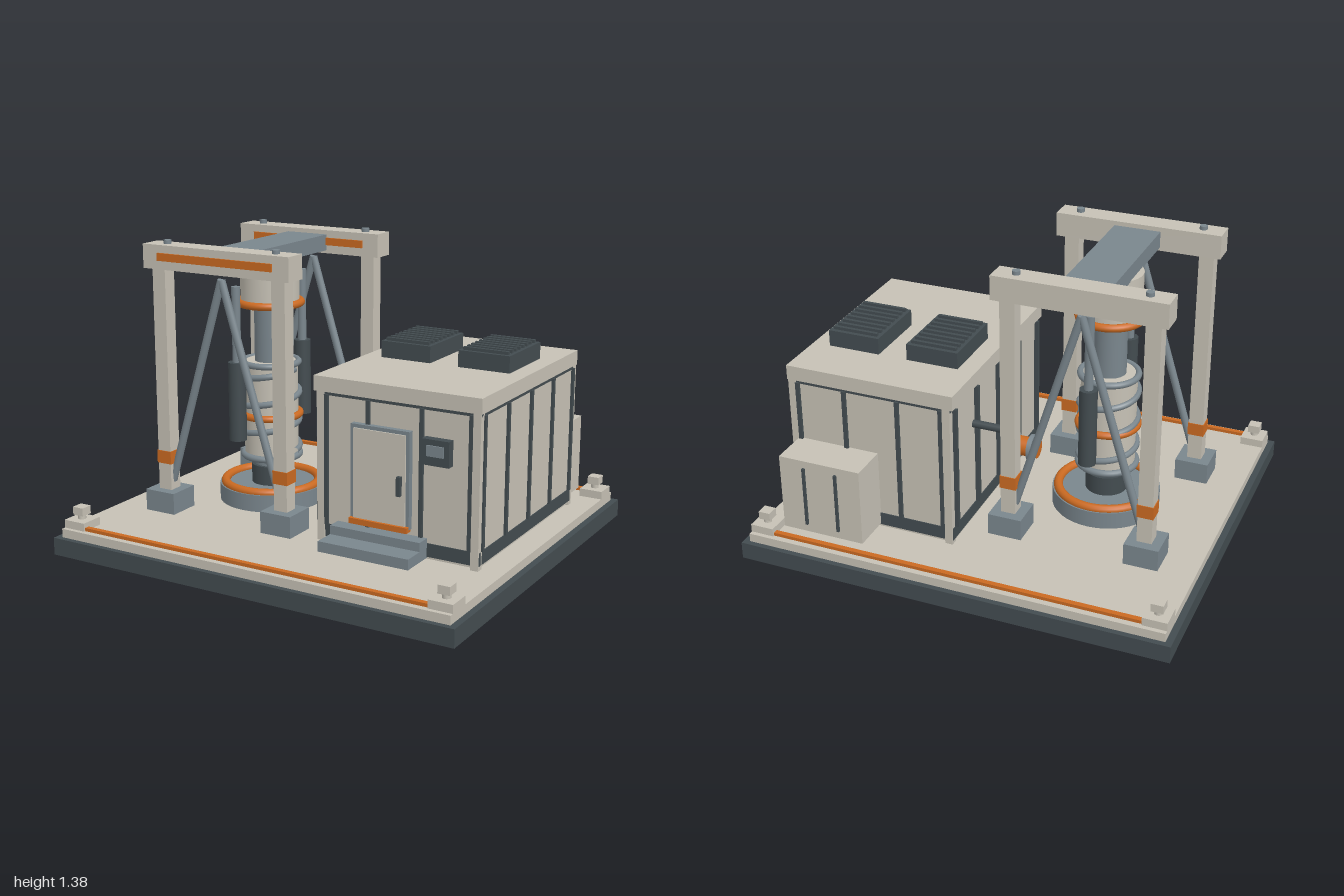
import * as THREE from 'three';

const mat = (name, color) => {
  const m = new THREE.MeshStandardMaterial({ color });
  m.name = name;
  return m;
};

export function createModel() {
  const root = new THREE.Group();
  root.name = 'drillingStation';
  const beige = mat('warm beige', 0xc6c1b5);
  const steel = mat('blue grey steel', 0x7a868d);
  const dark = mat('dark slate', 0x434c50);
  const orange = mat('safety orange', 0xca6a22);

  const add = (name, geo, m, x = 0, y = 0, z = 0) => {
    const mesh = new THREE.Mesh(geo, m);
    mesh.name = name;
    mesh.position.set(x, y, z);
    root.add(mesh);
    return mesh;
  };
  // Box from its extents along each axis
  const box = (name, m, [x0, x1], [y0, y1], [z0, z1]) =>
    add(name, new THREE.BoxGeometry(x1 - x0, y1 - y0, z1 - z0), m,
      (x0 + x1) / 2, (y0 + y1) / 2, (z0 + z1) / 2);
  const around = (c, w) => [c - w / 2, c + w / 2];
  // Cylinder between two points
  const rod = (name, m, a, b, r, seg = 32) => {
    const p = new THREE.Vector3(...a), q = new THREE.Vector3(...b);
    const d = q.clone().sub(p);
    const mesh = add(name, new THREE.CylinderGeometry(r, r, d.length(), seg), m);
    mesh.position.copy(p).add(q).multiplyScalar(0.5);
    mesh.quaternion.setFromUnitVectors(new THREE.Vector3(0, 1, 0), d.normalize());
    return mesh;
  };
  const ring = (name, m, x, y, R, r) =>
    add(name, new THREE.TorusGeometry(R, r, 12, 48).rotateX(Math.PI / 2), m, x, y, 0);

  // Platform
  box('platformBase', dark, [-1, 1], [0, 0.08], [-0.895, 0.895]);
  box('platformDeck', beige, [-0.97, 0.97], [0.08, 0.12], [-0.87, 0.87]);
  for (const s of [-1, 1]) {
    box('edgeStripe', orange, [-0.86, 0.86], [0.12, 0.135], around(s * 0.83, 0.024));
    for (const t of [-1, 1]) {
      const x = s * 0.915, z = t * 0.795;
      box('cornerFoot', beige, around(x, 0.11), [0.12, 0.157], around(z, 0.11));
      rod('cornerNeck', beige, [x, 0.157, z], [x, 0.185, z], 0.018, 16);
      box('cornerCap', beige, around(x, 0.055), [0.178, 0.215], around(z, 0.055));
    }
  }

  // Gantry frame
  const cx = -0.412;
  for (const s of [-1, 1]) {
    const z = s * 0.386;
    for (const t of [-1, 1]) {
      const x = cx + t * 0.317;
      box('pier', steel, around(x, 0.157), [0.12, 0.22], around(z, 0.157));
      box('post', beige, around(x, 0.068), [0.22, 1.26], around(z, 0.068));
      box('postBand', orange, around(x, 0.076), [0.345, 0.405], around(z, 0.076));
      rod('brace', steel, [cx, 1.225, z], [cx + t * 0.295, 0.26, z], 0.018, 12);
      rod('beamBolt', steel, [cx + t * 0.288, 1.36, z], [cx + t * 0.288, 1.382, z], 0.018, 16);
    }
    box('topBeam', beige, around(cx, 0.77), [1.255, 1.365], around(z, 0.11));
    box('beamPanel', orange, around(cx, 0.605), [1.295, 1.33], [z + 0.052, z + 0.064]);
    // Hydraulic ram
    rod('ramBarrel', dark, [cx, 0.47, s * 0.278], [cx, 0.835, s * 0.278], 0.04, 24);
    rod('ramRod', steel, [cx, 0.83, s * 0.278], [cx, 1.18, s * 0.278], 0.02, 16);
  }
  box('crossBeam', steel, around(cx, 0.215), [1.27, 1.345], [-0.335, 0.335]);

  // Drill column, stacked cylinders: name, material, bottom, top, radius
  [
    ['driveHousing', beige, 1.07, 1.275, 0.137],
    ['upperShaft', steel, 0.77, 1.08, 0.075],
    ['columnBody', beige, 0.325, 0.79, 0.127],
    ['columnNeck', steel, 0.28, 0.33, 0.08],
    ['columnCollar', dark, 0.19, 0.29, 0.096],
    ['turntable', steel, 0.12, 0.2, 0.248],
  ].forEach(([n, m, y0, y1, r]) => rod(n, m, [cx, y0, 0], [cx, y1, 0], r, 40));
  ring('driveRing', orange, cx, 1.067, 0.144, 0.018);
  ring('upperRing', steel, cx, 0.783, 0.13, 0.015);
  ring('middleRing', orange, cx, 0.535, 0.135, 0.017);
  ring('lowerRing', steel, cx, 0.338, 0.132, 0.016);
  ring('turntableRing', orange, cx, 0.205, 0.221, 0.021);

  // Coil wound around the column
  const turns = 3;
  const coil = Array.from({ length: turns * 16 + 1 }, (_, i) => {
    const a = -i * Math.PI / 8;
    return new THREE.Vector3(0.132 * Math.cos(a), 0.365 + 0.395 * i / (turns * 16), 0.132 * Math.sin(a));
  });
  add('columnCoil', new THREE.TubeGeometry(new THREE.CatmullRomCurve3(coil), 160, 0.015, 8), steel, cx);

  // Cabin shell
  const X = [0.092, 0.862], Z = [-0.602, 0.398];
  box('cabinBody', beige, X, [0.13, 0.8], Z);
  box('cabinRoof', beige, [0.075, 0.87], [0.795, 0.862], [-0.612, 0.41]);
  box('cabinSkirt', dark, [0.088, 0.866], [0.14, 0.2], [-0.606, 0.402]);
  box('roofTrim', dark, [0.088, 0.866], [0.78, 0.795], [-0.606, 0.402]);
  for (const x of [0.108, 0.848])
    for (const z of [-0.593, 0.391])
      box('cornerPost', beige, around(x, 0.036), [0.122, 0.795], around(z, 0.036));

  // Panel ribs on all walls
  for (const z of [0.372, 0.14, -0.1, -0.34, -0.572]) {
    box('sideRib', dark, [0.862, 0.874], [0.2, 0.785], around(z, 0.018));
    box('sideRib', dark, [0.072, 0.092], [0.2, 0.785], around(z, 0.018));
  }
  for (const x of [0.135, 0.34, 0.595, 0.822]) {
    box('frontRib', dark, around(x, 0.018), [0.2, 0.785], [0.398, 0.41]);
    box('backRib', dark, around(x, 0.018), [0.2, 0.785], [-0.615, -0.602]);
  }

  // Door, steps and control box
  box('doorFrame', steel, [0.268, 0.55], [0.25, 0.68], [0.398, 0.425]);
  box('doorPanel', beige, [0.284, 0.534], [0.265, 0.664], [0.42, 0.432]);
  box('doorSill', orange, [0.268, 0.55], [0.24, 0.265], [0.41, 0.445]);
  box('doorHandle', dark, around(0.51, 0.018), [0.4, 0.485], [0.43, 0.452]);
  box('lowerStep', steel, [0.19, 0.625], [0.135, 0.182], [0.4, 0.57]);
  box('upperStep', steel, [0.19, 0.625], [0.18, 0.222], [0.4, 0.468]);
  box('controlBox', dark, [0.612, 0.738], [0.555, 0.667], [0.398, 0.436]);
  box('controlScreen', steel, [0.635, 0.715], [0.595, 0.642], [0.436, 0.442]);

  // Roof vents with slats
  for (const x of [0.283, 0.665]) {
    box('roofVent', dark, around(x, 0.245), [0.862, 0.938], [-0.367, -0.035]);
    for (let i = 0; i < 8; i++)
      box('ventSlat', dark, around(x, 0.215), [0.935, 0.952], around(-0.34 + i * 0.04, 0.016));
  }

  // Rear equipment cabinet
  box('rearCabinet', beige, [0.445, 0.835], [0.145, 0.505], [-0.785, -0.6]);
  for (const x of [0.56, 0.715])
    box('cabinetSlot', dark, around(x, 0.012), [0.185, 0.47], [-0.796, -0.785]);

  // Pipes between the cabin and the frame
  rod('supplyPipe', orange, [-0.075, 0.318, 0], [0.1, 0.318, 0], 0.046);
  for (const x of [-0.045, 0.046])
    rod('pipeFlange', steel, [x - 0.011, 0.318, 0], [x + 0.011, 0.318, 0], 0.063);
  rod('conduit', dark, [-0.08, 0.605, -0.36], [0.1, 0.605, -0.36], 0.018, 16);

  return root;
}
